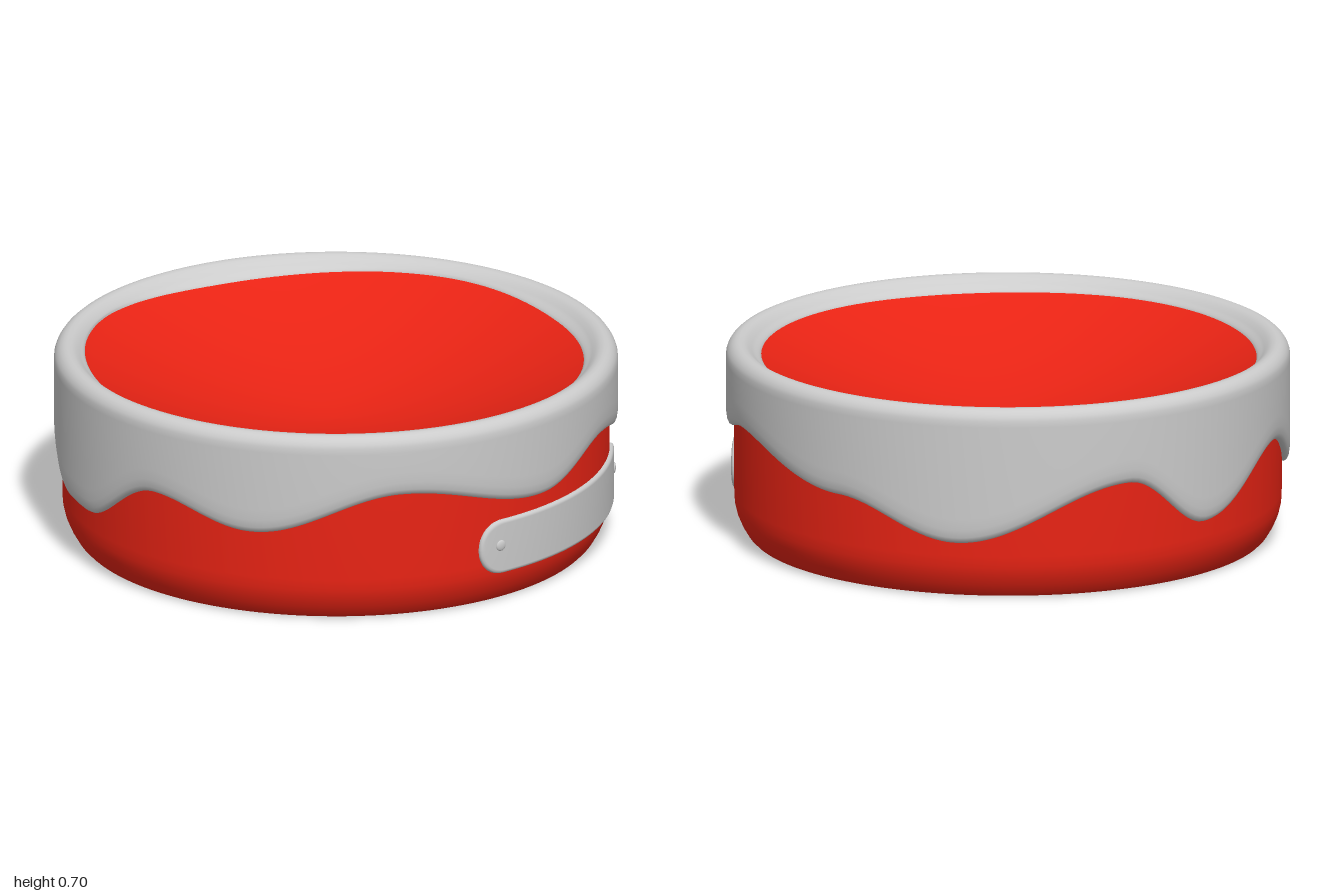
import * as THREE from 'three';

const red = new THREE.MeshStandardMaterial({ color: 0xe82314 });
const grey = new THREE.MeshStandardMaterial({ color: 0xcccccc });

// Smooth wave through [angle in degrees, value] turning points, repeating every 360
function wave(keys, deg) {
  const first = keys[0][0];
  const d = ((deg - first) % 360 + 360) % 360 + first;
  const loop = [...keys, [first + 360, keys[0][1]]];
  for (let k = 0; k < loop.length - 1; k++) {
    const [a, va] = loop[k], [b, vb] = loop[k + 1];
    if (d <= b) return va + (vb - va) * (1 - Math.cos(Math.PI * (d - a) / (b - a))) / 2;
  }
  return keys[0][1];
}

// Surface through cross-sections; section(i) returns points [angle, radius, y]
function loft(count, section, wrap) {
  const pos = [], index = [];
  let n = 0;
  for (let i = 0; i < count; i++) {
    const pts = section(i);
    n = pts.length;
    for (const [a, r, y] of pts) pos.push(r * Math.sin(a), y, r * Math.cos(a));
  }
  for (let i = 0; i < (wrap ? count : count - 1); i++) {
    const p = i * n, q = ((i + 1) % count) * n;
    for (let j = 0; j < n - 1; j++) {
      index.push(p + j, q + j, p + j + 1, q + j, q + j + 1, p + j + 1);
    }
  }
  const g = new THREE.BufferGeometry();
  g.setAttribute('position', new THREE.Float32BufferAttribute(pos, 3));
  g.setIndex(index);
  g.computeVertexNormals();
  return g;
}

function add(group, name, geometry, material) {
  const mesh = new THREE.Mesh(geometry, material);
  mesh.name = name;
  group.add(mesh);
  return mesh;
}

// Height of the shallow hollow at a given radius
const hollow = r => 0.42 + 0.24 * Math.pow(r / 0.9, 1.7);

// Lower edge of the glaze outside, and its edge radius inside
const dripEdge = [[-71, 0.412], [-46, 0.236], [-37, 0.232], [-15, 0.41], [8, 0.33], [40, 0.477],
  [74, 0.375], [97, 0.475], [123, 0.392], [145, 0.457], [179, 0.34], [206, 0.21],
  [243, 0.41], [262, 0.22]];
const innerEdge = [[0, 0.888], [45, 0.876], [88, 0.885], [140, 0.872], [180, 0.898],
  [232, 0.872], [272, 0.903], [315, 0.878]];

export function createModel() {
  const model = new THREE.Group();
  model.name = 'glazedBowl';

  // Red bowl: flat base, rounded foot, straight wall, shallow concave top
  const profile = [[0, 0], [0.6, 0], [0.895, 0], [0.912, 0.004], [0.926, 0.018], [0.945, 0.05],
    [0.96, 0.085], [0.968, 0.12], [0.97, 0.16], [0.97, 0.62], [0.96, 0.655], [0.94, 0.675],
    [0.915, 0.672]];
  for (let k = 0; k <= 24; k++) {
    const r = 0.9 * (1 - k / 24);
    profile.push([r, hollow(r)]);
  }
  add(model, 'bowlBody', new THREE.LatheGeometry(profile.map(p => new THREE.Vector2(...p)), 128), red);

  // Grey glaze running over the rim with a wavy dripping edge
  const steps = 256;
  const glaze = loft(steps, i => {
    const a = i / steps * Math.PI * 2, deg = i / steps * 360;
    const h = wave(dripEdge, deg), e = wave(innerEdge, deg);
    const pts = [[0.965, h + 0.008], [0.978, h], [0.988, h + 0.006], [0.995, h + 0.022],
      [0.999, h + 0.05], [1, h + 0.09], [1, 0.64]];
    // Rounded outer corner and crown of the rim
    for (let k = 1; k <= 6; k++) {
      const t = k / 6 * Math.PI / 2;
      pts.push([0.952 + 0.048 * Math.cos(t), 0.648 + 0.055 * Math.sin(t)]);
    }
    pts.push([0.936, 0.7], [0.92, 0.69], [0.908, 0.677]);
    // Thin layer following the hollow down to the inner edge
    for (let k = 1; k <= 4; k++) {
      const r = 0.905 + (e - 0.905) * k / 4;
      pts.push([r, hollow(r) + 0.01 * (1 - (k / 4) ** 2)]);
    }
    pts.push([e - 0.001, hollow(e) - 0.01]);
    return pts.map(([r, y]) => [a, r, y]);
  }, true);
  add(model, 'dripGlaze', glaze, grey);

  // Curved plate with rounded ends, wrapped around the +x side
  const plate = new THREE.Group();
  plate.name = 'plate';
  model.add(plate);
  const midY = 0.22, halfArc = 0.567, end = 0.1;
  const cols = 120;
  const strip = loft(cols + 1, i => {
    const s = -Math.cos(i / cols * Math.PI);
    const fromEnd = Math.min(1, (1 - Math.abs(s)) * halfArc / end);
    const half = 0.1 * Math.pow(Math.max(0, 1 - Math.pow(1 - fromEnd, 2.1)), 1 / 2.1);
    const layers = [[0, 0.96], [0, 0.974], [0.002, 0.979], [0.006, 0.983], [0.013, 0.985]];
    const point = (side, [inset, r]) =>
      [Math.PI / 2 + s * (halfArc - inset), r, midY + side * half * (1 - inset * 10)];
    return [...layers.map(l => point(-1, l)), ...layers.reverse().map(l => point(1, l))];
  }, false);
  add(plate, 'plateStrip', strip, grey);

  // Small rivets near both ends
  for (const side of [-1, 1]) {
    const a = Math.PI / 2 + side * 0.48;
    const rivet = add(plate, 'rivet', new THREE.SphereGeometry(0.02, 20, 14), grey);
    rivet.scale.z = 0.35;
    rivet.position.set(0.985 * Math.sin(a), 0.228, 0.985 * Math.cos(a));
    rivet.rotation.y = a;
  }
  return model;
}
